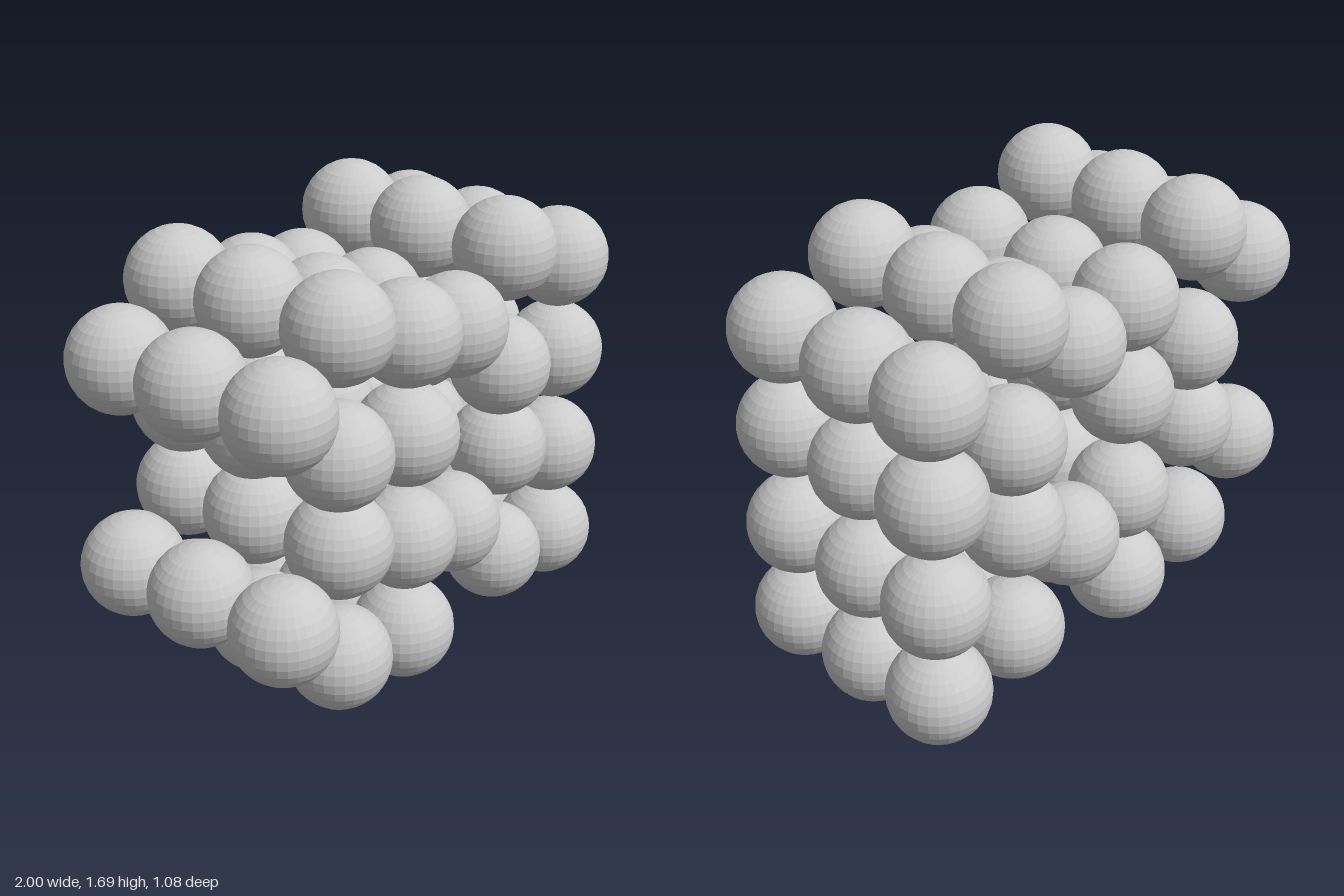
import * as THREE from 'three';

// Crystal lattice: one five-sphere cell repeated 2 x 2, in three layers
export function createModel() {
  const model = new THREE.Group();
  model.name = 'crystalLattice';

  const radius = 0.19;
  const ball = new THREE.SphereGeometry(radius, 32, 16);
  const material = new THREE.MeshStandardMaterial({ color: 0xcccccc, flatShading: true });

  // Sphere centres (x, y) in the lower cell on the -x side
  const cell = [
    [-0.81, 0.51],
    [-0.516, 0.71],
    [-0.516, 0.255],
    [-0.143, 0.572],
    [-0.143, 0.192],
  ];
  const stepX = 0.95, stepY = 0.795;
  const layers = { frontLayer: 0.352, middleLayer: -0.023, backLayer: -0.352 };

  for (const [name, z] of Object.entries(layers)) {
    const layer = new THREE.Group();
    layer.name = name;
    layer.position.z = z;
    for (let column = 0; column < 2; column++) {
      for (let row = 0; row < 2; row++) {
        for (const [x, y] of cell) {
          const atom = new THREE.Mesh(ball, material);
          atom.name = 'atom';
          atom.position.set(x + column * stepX, y + row * stepY, 0);
          layer.add(atom);
        }
      }
    }
    model.add(layer);
  }
  return model;
}
